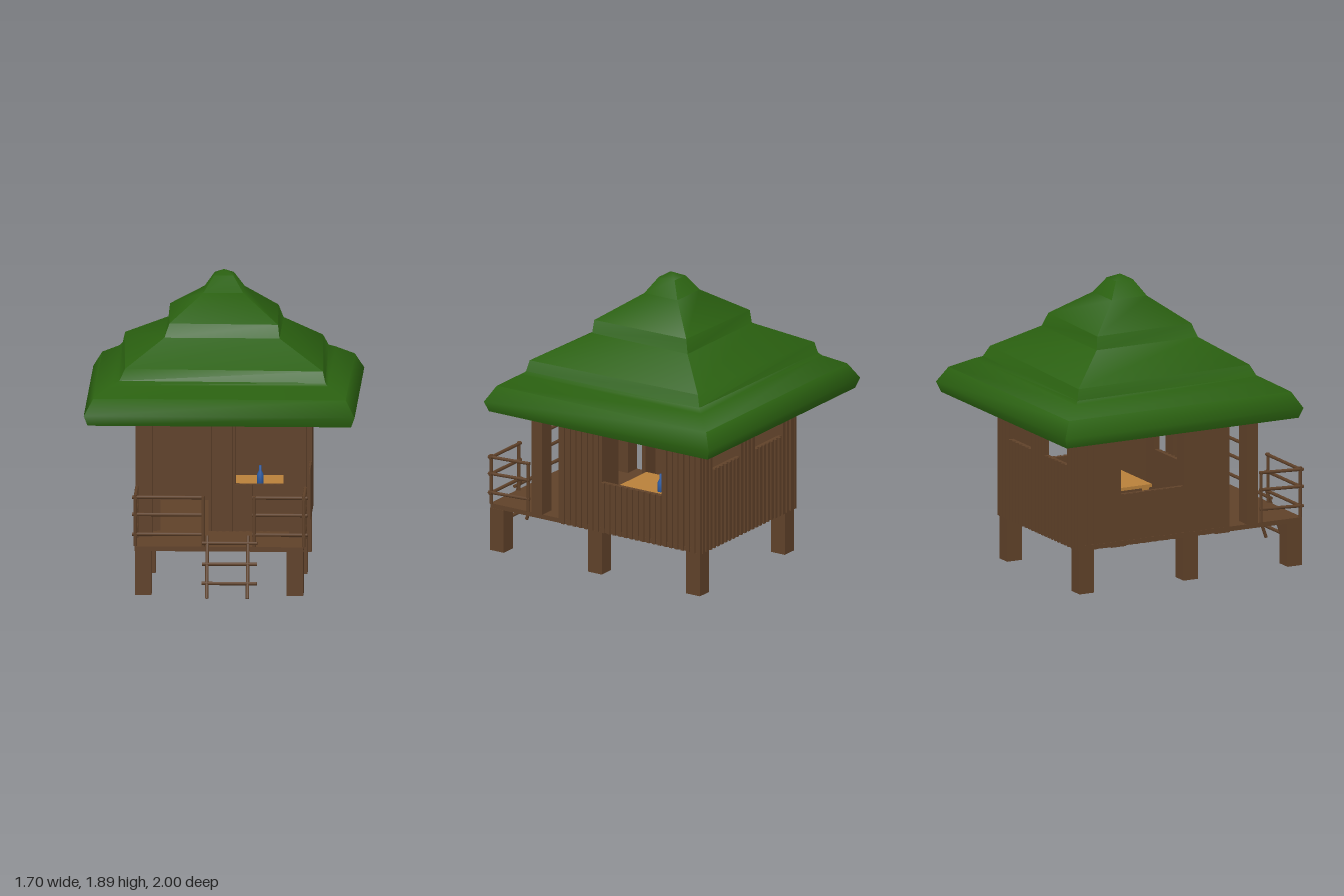
import * as THREE from 'three';
import { mergeGeometries, toCreasedNormals } from 'three/addons/utils/BufferGeometryUtils.js';

const paint = (color) => new THREE.MeshStandardMaterial({ color });
const wood = paint(0x5f4129);
const thatch = paint(0x2a6010);
const tan = paint(0xb8803a);
const blue = paint(0x2f5fa8);
thatch.side = THREE.DoubleSide;

const FLOOR = 0.31, BASE = 0.28, EAVE = 1.045;

function add(parent, name, geometry, material = wood) {
  const mesh = new THREE.Mesh(geometry, material);
  mesh.name = name;
  parent.add(mesh);
  return mesh;
}

// box given by its minimum and maximum corners
function span(x0, x1, y0, y1, z0, z1) {
  return new THREE.BoxGeometry(x1 - x0, y1 - y0, z1 - z0)
    .translate((x0 + x1) / 2, (y0 + y1) / 2, (z0 + z1) / 2);
}

// round stick between two points
function stick(a, b, r = 0.011) {
  const p = new THREE.Vector3(...a), q = new THREE.Vector3(...b);
  const d = q.clone().sub(p);
  const turn = new THREE.Quaternion().setFromUnitVectors(new THREE.Vector3(0, 1, 0), d.clone().normalize());
  return new THREE.CylinderGeometry(r, r, d.length(), 8)
    .applyQuaternion(turn).translate(...p.add(q).multiplyScalar(0.5).toArray());
}

// wall of upright planks along local x, outside facing +z;
// openings are [x0, x1, y0, y1]
function plankWall(from, to, bottom, openings) {
  const n = 50, w = (to - from) / n, planks = [];
  for (let i = 0; i < n; i++) {
    const x = from + i * w, mid = x + w / 2;
    const front = i % 2 ? 0 : -0.012;
    const hole = openings.find((o) => mid > o[0] && mid < o[1]);
    const parts = hole ? [[bottom, hole[2]], [hole[3], EAVE]] : [[bottom, EAVE]];
    for (const [y0, y1] of parts) {
      if (y1 - y0 > 0.005) planks.push(span(x, x + w, y0, y1, -0.035, front));
    }
  }
  return mergeGeometries(planks);
}

// square thatch roof lofted from rings of [half width, height, corner skew]
function roofGeometry() {
  const rings = [
    [0, 1.04, 0], [0.825, 1.04, 0], [0.848, 1.105, 0], [0.79, 1.205, 0], [0.675, 1.27, 0],
    [0.645, 1.29, 0.02], [0.62, 1.36, 0.035], [0.36, 1.515, 0], [0.34, 1.6, 0.03],
    [0.125, 1.757, 0], [0.06, 1.857, 0], [0, 1.887, 0],
  ];
  const corners = [[-1, 1], [1, 1], [1, -1], [-1, -1]];
  const pos = [], index = [];
  for (const [half, y, skew] of rings) {
    for (const [cx, cz] of corners) {
      const s = half * (1 + skew * cx * cz);
      pos.push(cx * s, y, cz * s);
    }
  }
  for (let i = 0; i < rings.length - 1; i++) {
    for (let k = 0; k < 4; k++) {
      const a = i * 4 + k, b = i * 4 + (k + 1) % 4;
      if (rings[i][0] > 0) index.push(a, b, b + 4);
      else index.push(a, b + 4, a + 4);
      if (rings[i][0] > 0 && rings[i + 1][0] > 0) index.push(a, b + 4, a + 4);
    }
  }
  // the tip closes with one triangle per side
  const g = new THREE.BufferGeometry();
  g.setAttribute('position', new THREE.Float32BufferAttribute(pos, 3));
  g.setIndex(index);
  return toCreasedNormals(g, 1.15);
}

export function createModel() {
  const hut = new THREE.Group();
  hut.name = 'stiltHut';

  // stilts and floor
  for (const x of [-0.47, 0.48]) {
    for (const z of [0.81, 0.07, -0.67]) {
      add(hut, 'stilt', span(x - 0.052, x + 0.052, 0, BASE, z - 0.052, z + 0.052));
    }
  }
  add(hut, 'floor', span(-0.525, 0.53, BASE, FLOOR, -0.72, 0.86));

  // walls
  const side = [-0.02, 0.42, 0.61, 0.99];
  add(hut, 'frontWall', plankWall(-0.53, 0.54, FLOOR, [
    [-0.37, -0.07, FLOOR, 0.995], [0.08, 0.38, 0.61, 0.995],
  ])).position.z = 0.34;
  const back = add(hut, 'backWall', plankWall(-0.54, 0.53, BASE, [
    [-0.38, -0.08, 0.8, 0.995], [0.07, 0.37, 0.8, 0.995],
  ]));
  back.position.z = -0.735;
  back.rotation.y = Math.PI;
  const right = add(hut, 'sideWall', plankWall(-0.34, 0.73, BASE, [side]));
  right.position.x = 0.54;
  right.rotation.y = Math.PI / 2;
  const left = add(hut, 'sideWall', plankWall(-0.73, 0.34, BASE, [[-0.42, 0.02, 0.61, 0.99]]));
  left.position.x = -0.53;
  left.rotation.y = -Math.PI / 2;

  // porch posts
  for (const x of [-0.475, 0.485]) {
    add(hut, 'porchPost', span(x - 0.053, x + 0.053, FLOOR, EAVE, 0.465, 0.545));
  }

  // railings, one on each side of the ladder
  for (const [outer, inner, over] of [[-0.52, -0.095, -0.02], [0.535, 0.225, 0.025]]) {
    const sticks = [
      stick([outer, FLOOR, 0.85], [outer, 0.635, 0.85]),
      stick([inner, FLOOR, 0.85], [inner, 0.63, 0.85]),
      stick([outer, FLOOR, 0.57], [outer, 0.635, 0.57]),
    ];
    for (const y of [0.385, 0.51, 0.62]) {
      sticks.push(stick([outer + over, y, 0.845], [inner - over / 2, y, 0.845]));
      sticks.push(stick([outer, y - 0.003, 0.87], [outer, y + 0.01, 0.56]));
    }
    add(hut, 'railing', mergeGeometries(sticks));
  }

  // ladder
  const ladder = [-0.068, 0.187].map((x) => stick([x, 0.005, 0.99], [x, 0.38, 0.855]));
  for (const y of [0.095, 0.21, 0.335]) {
    const z = 0.992 - y * 0.36;
    ladder.push(stick([-0.1, y, z], [0.245, y, z]));
  }
  add(hut, 'ladder', mergeGeometries(ladder));

  // table with a small bottle inside the room
  add(hut, 'tableTop', span(-0.03, 0.47, 0.49, 0.51, -0.5, 0.06), tan);
  for (const x of [0, 0.44]) {
    for (const z of [-0.47, 0.03]) {
      add(hut, 'tableLeg', span(x - 0.015, x + 0.015, FLOOR, 0.49, z - 0.015, z + 0.015), tan);
    }
  }
  const bottle = [[0, 0], [0.02, 0], [0.02, 0.06], [0.008, 0.085], [0.008, 0.115], [0, 0.115]]
    .map(([r, y]) => new THREE.Vector2(r, y));
  add(hut, 'bottle', new THREE.LatheGeometry(bottle, 12), blue).position.set(0.225, 0.51, -0.22);

  // roof
  add(hut, 'roof', roofGeometry(), thatch).position.z = -0.153;

  return hut;
}
